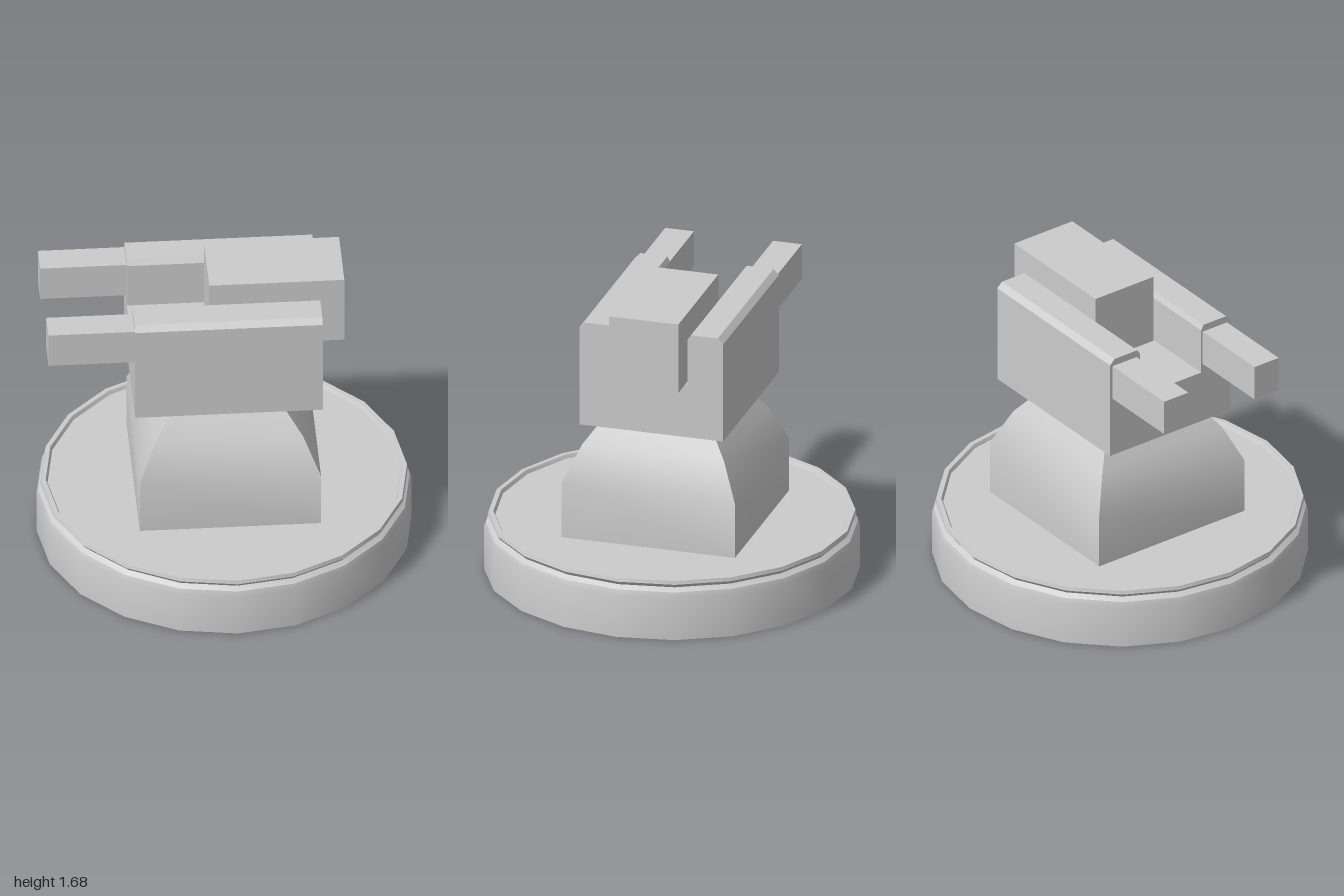
import * as THREE from 'three';
import { toCreasedNormals } from 'three/addons/utils/BufferGeometryUtils.js';

const CREASE = 0.56;

export function createModel() {
  const model = new THREE.Group();
  const material = new THREE.MeshStandardMaterial({ color: 0xcccccc });

  const add = (name, geometry) => {
    const mesh = new THREE.Mesh(geometry, material);
    mesh.name = name;
    model.add(mesh);
    return mesh;
  };

  // Box given by its lower and upper corners
  const addBox = (name, min, max) => {
    const size = max.map((v, i) => v - min[i]);
    const mesh = add(name, new THREE.BoxGeometry(...size));
    mesh.position.set(...max.map((v, i) => (v + min[i]) / 2));
  };

  const lathe = (points, sides, start = 0) =>
    toCreasedNormals(
      new THREE.LatheGeometry(points.map(([r, y]) => new THREE.Vector2(r, y)), sides, start),
      CREASE
    );

  // Round base: rounded shoulder, groove, thin lip and a slightly sunken floor
  add('base', lathe([
    [0, 0], [1, 0], [1, 0.24], [0.99, 0.27], [0.965, 0.29],
    [0.98, 0.31], [0.975, 0.33], [0.95, 0.33], [0.94, 0.31], [0, 0.31],
  ], 20));

  // Square pedestal tapering to the turret, as a four-sided lathe
  const pedestalProfile = [[0.483, 0.3], [0.483, 0.62], [0.395, 0.82], [0.272, 0.985]];
  const pedestal = add('pedestal', lathe(
    [[0, 0.3], ...pedestalProfile, [0, 0.985]].map(([half, y]) => [half * Math.SQRT2, y]),
    4, Math.PI / 4
  ));
  pedestal.position.z = -0.017;

  // Slotted turret body: cross-section in (z, y), extruded along x
  const section = [
    [0.36, 0.98], [0.36, 1.54], [0.33, 1.57], [0.18, 1.57], [0.165, 1.54], [0.165, 1.28],
    [-0.24, 1.28], [-0.24, 1.54], [-0.26, 1.57], [-0.41, 1.57], [-0.44, 1.54], [-0.44, 0.98],
  ];
  const shape = new THREE.Shape(section.map(([z, y]) => new THREE.Vector2(-z, y)));
  const body = new THREE.ExtrudeGeometry(shape, { depth: 1, bevelEnabled: false });
  body.translate(0, 0, -0.5).rotateY(Math.PI / 2);
  add('turretBody', body);

  // Block resting in the slot and overhanging the rear
  addBox('slotBlock', [-0.09, 1.285, -0.23], [0.63, 1.68, 0.155]);

  // Twin square barrels
  for (const [name, z] of [['frontBarrel', 0.255], ['backBarrel', -0.345]]) {
    addBox(name, [-0.96, 1.33, z - 0.08], [-0.48, 1.53, z + 0.08]);
  }

  return model;
}
